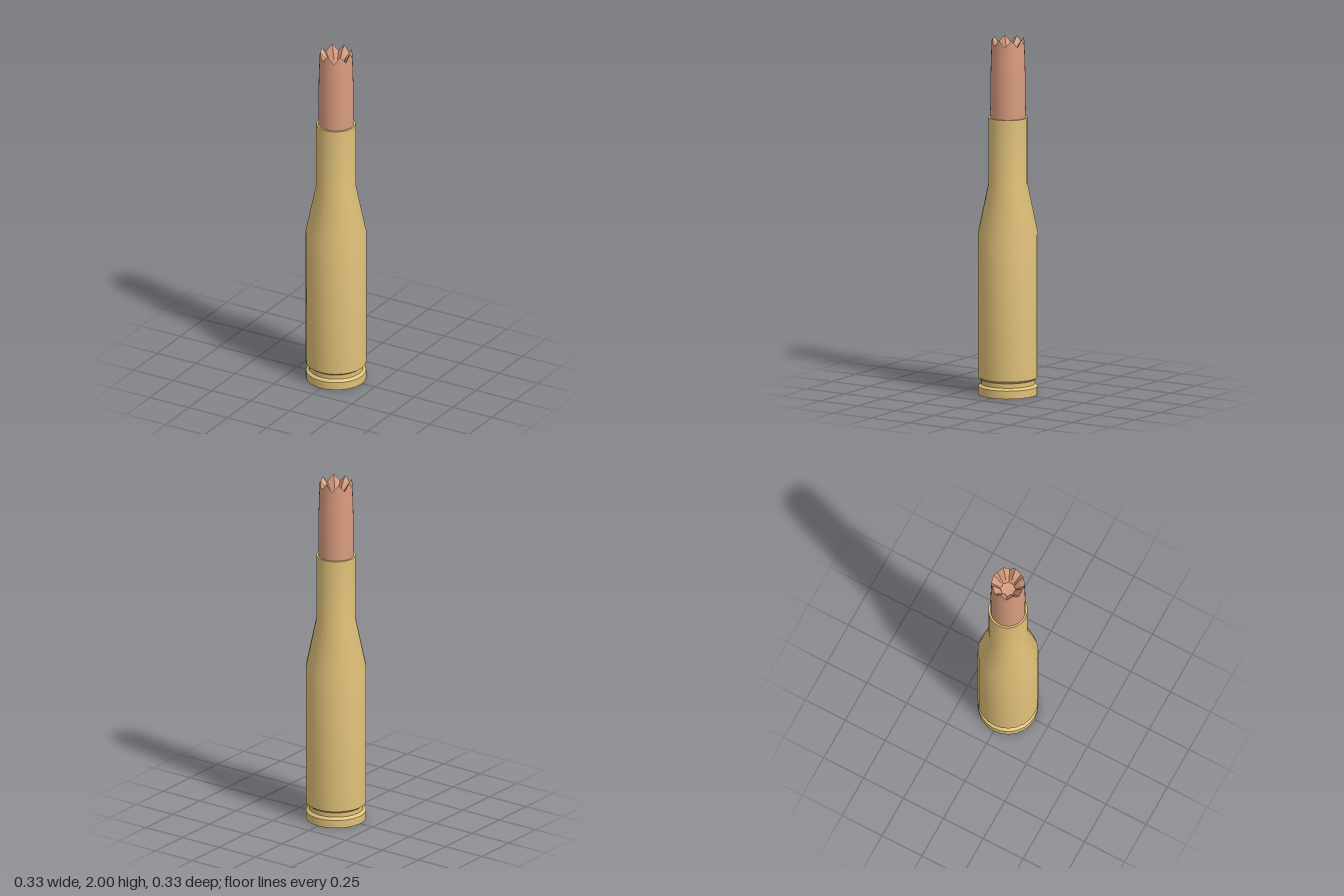
import * as THREE from 'three';
import { toCreasedNormals } from 'three/addons/utils/BufferGeometryUtils.js';

const brass = new THREE.MeshStandardMaterial({ color: 0xdfc079 });
brass.name = 'brass';
const copper = new THREE.MeshStandardMaterial({ color: 0xd99c80 });
copper.name = 'copper';

// Turned casing: base, rim, groove, body, shoulder, neck and rolled-in mouth
function casingGeometry() {
  const profile = [
    [0, 0], [0.167, 0], [0.167, 0.045], [0.15, 0.058], [0.15, 0.083], [0.167, 0.096],
    [0.167, 0.9], [0.109, 1.18], [0.109, 1.555], [0.098, 1.555], [0.096, 1.5],
  ].map(([r, y]) => new THREE.Vector2(r, y));
  return toCreasedNormals(new THREE.LatheGeometry(profile, 24), 0.6);
}

// Bullet: rings that turn into eight teeth at the top, then drop into a fluted hollow
function bulletGeometry() {
  const teeth = 8, sides = 32;
  // each ring: [radius, height] under a tooth tip, then [radius, height] under a notch
  const rings = [
    [0.097, 1.5, 0.097, 1.5],
    [0.098, 1.6, 0.098, 1.6],
    [0.097, 1.76, 0.097, 1.76],
    [0.094, 1.9, 0.094, 1.88],
    [0.089, 2.0, 0.092, 1.96],
    [0.063, 1.965, 0.07, 1.935],
    [0.046, 1.93, 0.053, 1.91],
    [0.036, 1.885, 0.042, 1.885],
    [0, 1.88, 0, 1.88],
  ];
  const positions = [], index = [];
  rings.forEach(([rTip, yTip, rNotch, yNotch], j) => {
    for (let i = 0; i < sides; i++) {
      const a = (i / sides) * Math.PI * 2;
      const phase = (i * teeth / sides) % 1;
      const t = 1 - Math.abs(1 - 2 * phase); // 0 at a tip, 1 at a notch
      const r = THREE.MathUtils.lerp(rTip, rNotch, t);
      positions.push(Math.sin(a) * r, THREE.MathUtils.lerp(yTip, yNotch, t), Math.cos(a) * r);
      if (j === 0) continue;
      const n = (i + 1) % sides;
      const lo = (j - 1) * sides, hi = j * sides;
      index.push(lo + i, lo + n, hi + n, lo + i, hi + n, hi + i);
    }
  });
  const geometry = new THREE.BufferGeometry();
  geometry.setAttribute('position', new THREE.Float32BufferAttribute(positions, 3));
  geometry.setIndex(index);
  return toCreasedNormals(geometry, 0.9);
}

export function createModel() {
  const group = new THREE.Group();
  group.name = 'cartridge';
  const casing = new THREE.Mesh(casingGeometry(), brass);
  casing.name = 'casing';
  const bullet = new THREE.Mesh(bulletGeometry(), copper);
  bullet.name = 'bullet';
  group.add(casing, bullet);
  return group;
}
